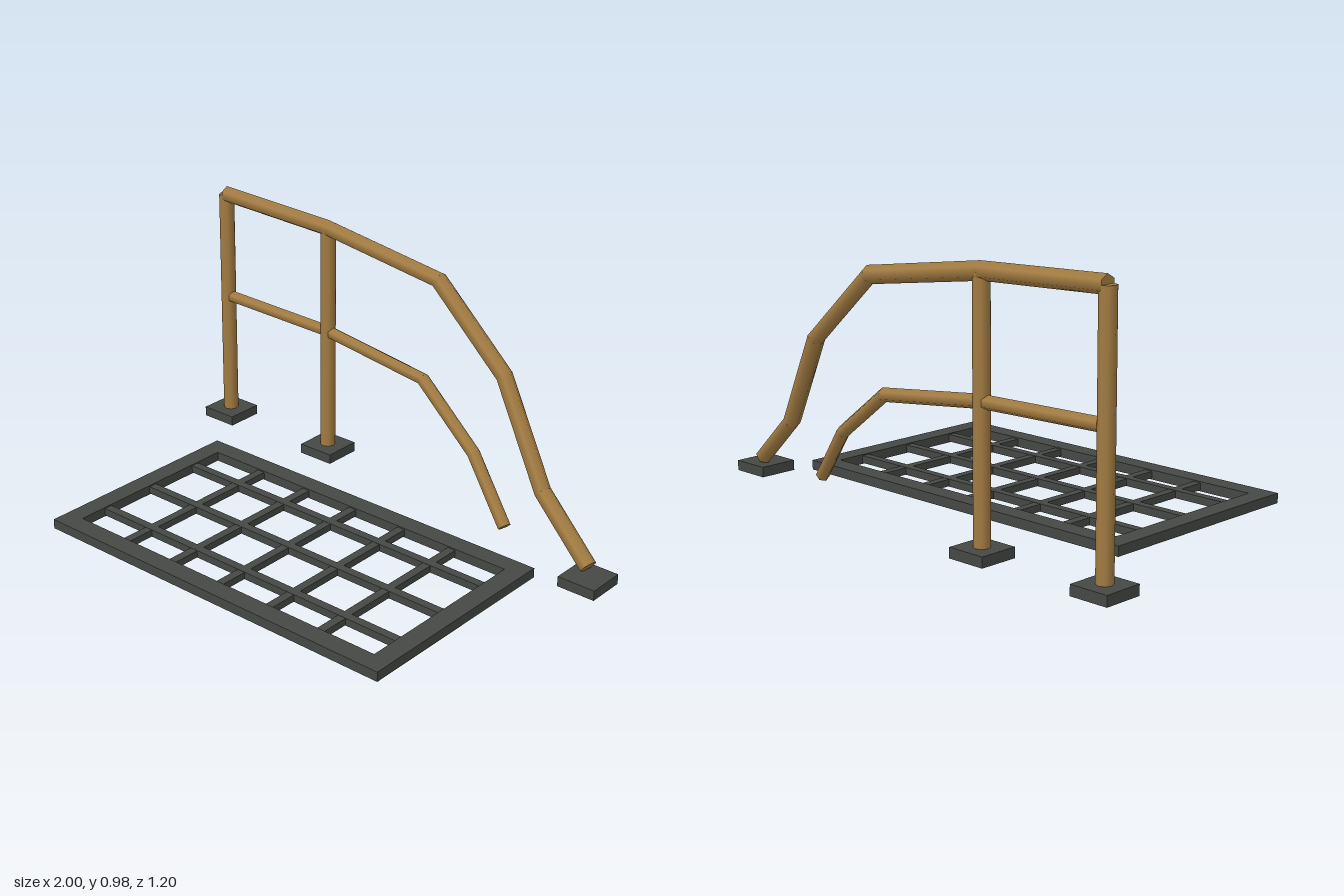
import * as THREE from 'three';

const wood = new THREE.MeshStandardMaterial({ color: 0xa37c42 });
const iron = new THREE.MeshStandardMaterial({ color: 0x454844 });

function add(parent, name, geometry, material, x = 0, y = 0, z = 0) {
  const mesh = new THREE.Mesh(geometry, material);
  mesh.name = name;
  mesh.position.set(x, y, z);
  parent.add(mesh);
  return mesh;
}

// Six-sided rail along a polyline, each segment cut to the mitre plane at its joints
function makeRail(name, coords, radius) {
  const rail = new THREE.Group();
  rail.name = name;
  const pts = coords.map((c) => new THREE.Vector3(...c));
  const dirs = pts.slice(1).map((p, i) => p.clone().sub(pts[i]).normalize());
  const mitre = pts.map((_, i) =>
    (dirs[i - 1] || dirs[i]).clone().add(dirs[i] || dirs[i - 1]).normalize());
  const zAxis = new THREE.Vector3(0, 0, 1);

  dirs.forEach((t, i) => {
    const n = zAxis.clone().cross(t).normalize();
    const b = t.clone().cross(n);
    const length = pts[i].distanceTo(pts[i + 1]);
    const mid = pts[i].clone().lerp(pts[i + 1], 0.5);
    const geo = new THREE.CylinderGeometry(radius, radius, length, 6);
    geo.applyMatrix4(new THREE.Matrix4().makeBasis(b, t, n).setPosition(mid));
    const pos = geo.attributes.position;
    const v = new THREE.Vector3();
    for (let k = 0; k < pos.count; k++) {
      v.fromBufferAttribute(pos, k);
      const end = v.clone().sub(mid).dot(t) > 0 ? i + 1 : i;
      const slide = v.clone().sub(pts[end]).dot(mitre[end]) / t.dot(mitre[end]);
      v.addScaledVector(t, -slide);
      pos.setXYZ(k, v.x, v.y, v.z);
    }
    add(rail, name + 'Segment', geo, wood);
  });
  return rail;
}

// Flat grate: frame with a rectangular opening, crossed by bars
function makeGrate() {
  const grate = new THREE.Group();
  grate.name = 'grate';
  const w = 1.504, d = 0.848, border = 0.073, h = 0.036;
  const rect = (path, a, c) =>
    path.moveTo(-a, -c).lineTo(a, -c).lineTo(a, c).lineTo(-a, c).closePath();
  const shape = rect(new THREE.Shape(), w / 2, d / 2);
  shape.holes.push(rect(new THREE.Path(), w / 2 - border, d / 2 - border));
  const frame = new THREE.ExtrudeGeometry(shape, { depth: h, bevelEnabled: false });
  frame.rotateX(-Math.PI / 2).translate(0, -h / 2, 0);
  add(grate, 'grateFrame', frame, iron);

  const longBar = new THREE.BoxGeometry(w - border, 0.028, 0.032);
  const crossBar = new THREE.BoxGeometry(0.032, 0.026, d - border);
  for (let i = -1; i <= 1; i++) add(grate, 'longBar', longBar, iron, 0, 0, i * 0.226);
  for (let i = -2; i <= 2; i++) add(grate, 'crossBar', crossBar, iron, i * 0.226, 0, 0);
  grate.position.set(0.018, 0.031, 0.179);
  return grate;
}

export function createModel() {
  const model = new THREE.Group();
  model.name = 'handrailAndGrate';
  const back = -0.528;

  // Footing plates
  const plate = new THREE.BoxGeometry(0.148, 0.038, 0.148);
  [[-0.926, back], [-0.407, back], [0.926, -0.341]].forEach(([x, z]) =>
    add(model, 'footPlate', plate, iron, x, 0.019, z));

  // Upright posts
  [[-0.926, 0.945], [-0.407, 0.925]].forEach(([x, top]) => {
    const h = top - 0.02;
    add(model, 'post', new THREE.CylinderGeometry(0.029, 0.029, h, 8), wood, x, 0.02 + h / 2, back);
  });

  // Upper rail bends down to the front footing, lower rail ends just above the ground
  model.add(makeRail('upperRail', [
    [-0.925, 0.945, back], [-0.407, 0.927, back], [0.115, 0.855, -0.525],
    [0.443, 0.593, -0.485], [0.677, 0.246, -0.412], [0.915, 0.06, -0.357],
  ], 0.032));
  model.add(makeRail('lowerRail', [
    [-0.905, 0.524, back], [-0.407, 0.513, back], [0.062, 0.457, -0.515],
    [0.345, 0.27, -0.455], [0.537, 0.064, -0.392],
  ], 0.0245));

  model.add(makeGrate());
  return model;
}
